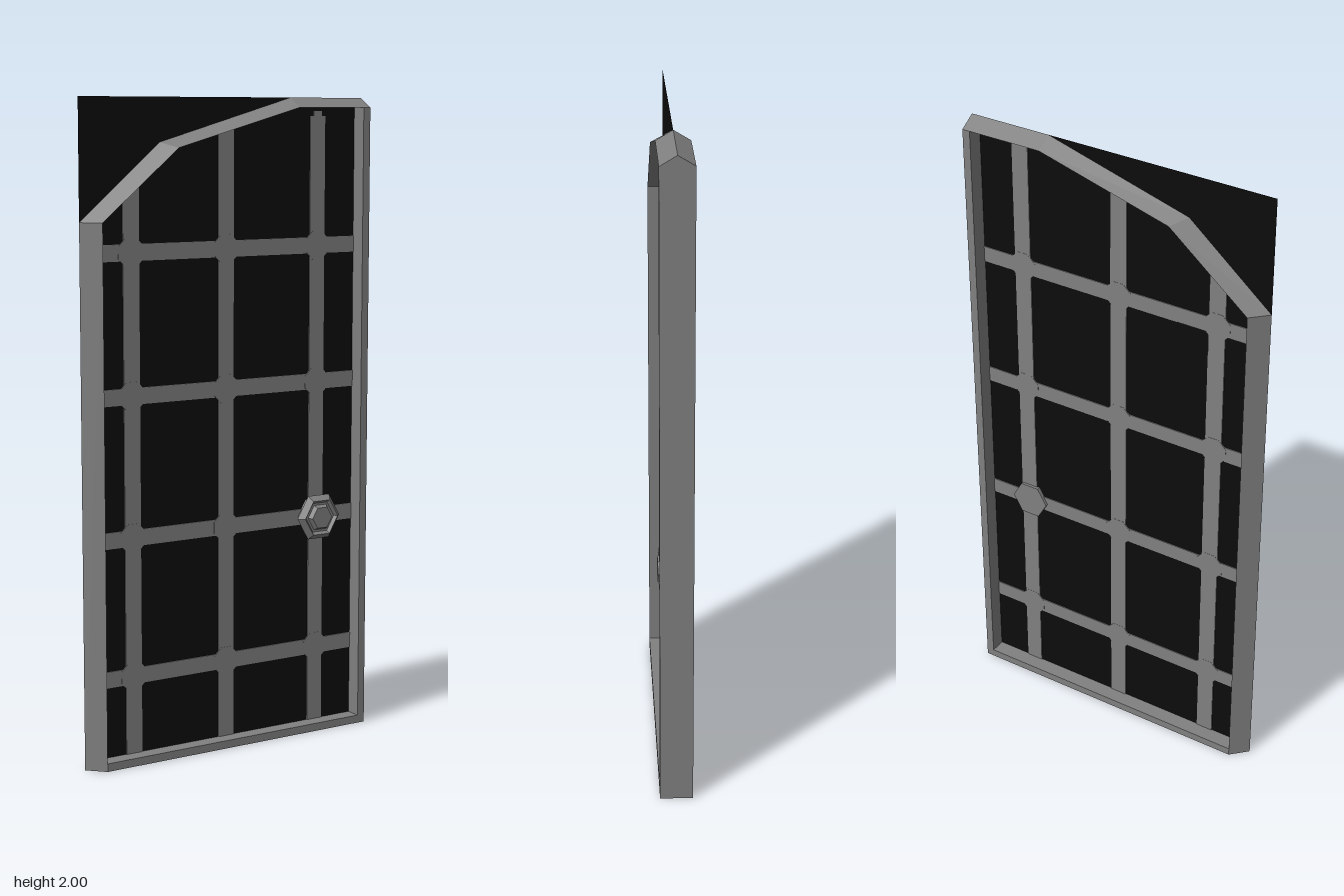
import * as THREE from 'three';

const grey = new THREE.MeshStandardMaterial({ color: 0x808080 });
grey.name = 'iron grey';
const black = new THREE.MeshStandardMaterial({ color: 0x0c0c0c, side: THREE.DoubleSide });
black.name = 'panel black';

const HALF = 0.05; // half depth of the frame

// Each corner of the frame: ridge (at z = 0), shoulder and inner edge (at full depth)
const CORNERS = [
  [[-0.5, 0], [-0.45, 0], [-0.45, 0.025]],
  [[-0.5, 1.64], [-0.45, 1.64], [-0.45, 1.64]],
  [[-0.23, 1.868], [-0.193, 1.852], [-0.193, 1.852]],
  [[0.235, 2], [0.235, 1.97], [0.235, 1.97]],
  [[0.5, 2], [0.5, 1.97], [0.475, 1.97]],
  [[0.5, 0], [0.5, 0], [0.475, 0.025]],
];

function addMesh(parent, name, geometry, material, x = 0, y = 0, z = 0) {
  const mesh = new THREE.Mesh(geometry, material);
  mesh.name = name;
  mesh.position.set(x, y, z);
  parent.add(mesh);
  return mesh;
}

function flat(geometry) {
  const g = geometry.index ? geometry.toNonIndexed() : geometry;
  g.computeVertexNormals();
  return g;
}

// Closed loop of the ridge / shoulder / inner edge section, mirrored front to back
function frameGeometry() {
  const positions = [];
  for (const side of [1, -1]) {
    const rings = CORNERS.map(([ridge, shoulder, inner]) => [
      [...ridge, 0],
      [...shoulder, side * HALF],
      [...inner, side * HALF],
      [...inner, 0],
    ]);
    rings.forEach((from, i) => {
      const to = rings[(i + 1) % rings.length];
      for (let k = 0; k < 3; k++) {
        const a = from[k], b = to[k], c = to[k + 1], d = from[k + 1];
        const quad = side > 0 ? [a, d, c, a, c, b] : [a, c, d, a, b, c];
        positions.push(...quad.flat());
      }
    });
  }
  const g = new THREE.BufferGeometry();
  g.setAttribute('position', new THREE.Float32BufferAttribute(positions, 3));
  return flat(g);
}

// Six-sided knob turned around z
function knobGeometry() {
  const profile = [
    [0, -0.012], [0.062, -0.012], [0.062, 0.01], [0.08, 0.028], [0.062, 0.046],
    [0.053, 0.036], [0.045, 0.036], [0.037, 0.05], [0, 0.05],
  ].map(([r, z]) => new THREE.Vector2(r, z));
  const g = new THREE.LatheGeometry(profile, 6, Math.PI / 2);
  g.rotateX(Math.PI / 2);
  return flat(g);
}

export function createModel() {
  const model = new THREE.Group();
  model.name = 'door';

  // Full rectangular sheet, also filling the corner outside the arch
  addMesh(model, 'panel', new THREE.PlaneGeometry(1, 2), black, 0, 1, 0);
  addMesh(model, 'frame', frameGeometry(), grey);

  // Lattice: thin bars showing on both faces of the panel
  const lattice = new THREE.Group();
  lattice.name = 'lattice';
  model.add(lattice);
  const T = 0.006;
  const uprights = [[-0.33, 1.755], [0, 1.905], [0.335, 1.945]];
  const rails = [0.267, 0.693, 1.122, 1.548];
  for (const [x, top] of uprights) {
    addMesh(lattice, 'uprightBar', new THREE.BoxGeometry(0.055, top - 0.02, T), grey, x, (top + 0.02) / 2);
  }
  addMesh(lattice, 'uprightTip', new THREE.BoxGeometry(0.03, 0.02, T), grey, 0.335, 1.95);
  for (const y of rails) {
    addMesh(lattice, 'crossBar', new THREE.BoxGeometry(0.925, 0.05, T), grey, 0.0125, y);
  }

  // Eight-sided pads where the bars cross
  const pad = new THREE.CylinderGeometry(0.047, 0.047, T + 0.001, 8);
  pad.rotateY(Math.PI / 8).rotateX(Math.PI / 2);
  const padFlat = flat(pad);
  for (const [x] of uprights) {
    for (const y of rails) addMesh(lattice, 'crossingPad', padFlat, grey, x, y);
  }

  addMesh(model, 'knob', knobGeometry(), grey, 0.33, 0.693);
  return model;
}
